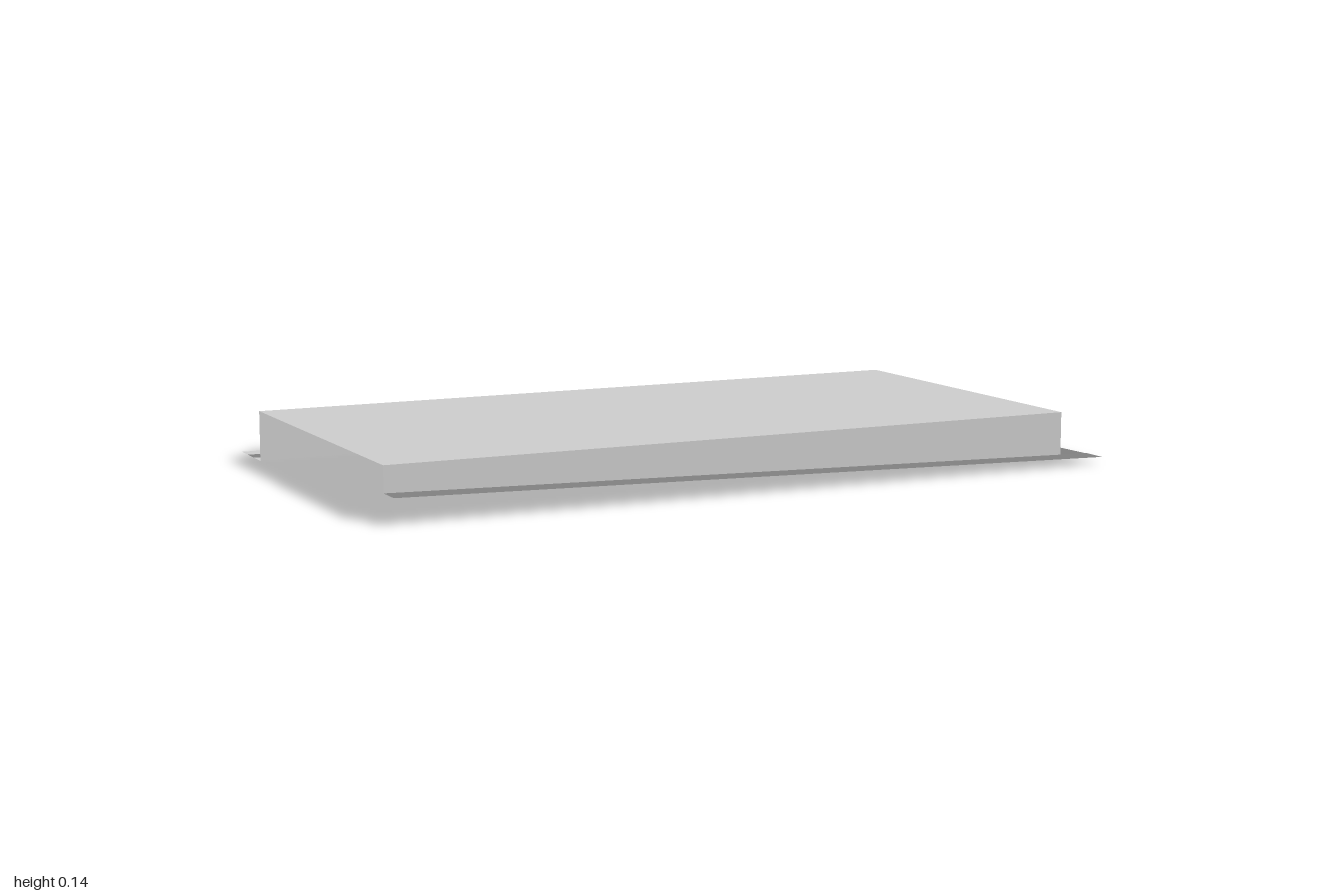
import * as THREE from 'three';

export function createModel() {
  const model = new THREE.Group();
  const light = new THREE.MeshStandardMaterial({ color: 0xcccccc, side: THREE.DoubleSide });
  light.name = 'light grey sheet';
  const dark = new THREE.MeshStandardMaterial({ color: 0x808080, side: THREE.DoubleSide });
  dark.name = 'dark grey flange';

  // Sheet extents: raised tray inside, flanges outside
  const L = -1, R = 0.914, EDGE = 1;
  const B = -0.432, F = 0.531, OUT = 0.6, TOP = 0.135;

  // Flange heights: the front one falls along x, the side one falls towards the back
  const frontY = x => 0.018 + 0.025 * (1 - x);
  const sideY = z => 0.018 * (z + OUT) / (2 * OUT);

  // Flat four-cornered panel, corners counter-clockwise seen from outside
  function panel(name, material, a, b, c, d) {
    const g = new THREE.BufferGeometry();
    g.setAttribute('position', new THREE.Float32BufferAttribute([a, b, c, a, c, d].flat(), 3));
    g.computeVertexNormals();
    const mesh = new THREE.Mesh(g, material);
    mesh.name = name;
    model.add(mesh);
  }

  // Horizontal strip whose height follows a rule y(x, z)
  function strip(name, material, x0, x1, z0, z1, y) {
    const p = (x, z) => [x, y(x, z), z];
    panel(name, material, p(x0, z1), p(x1, z1), p(x1, z0), p(x0, z0));
  }

  // Raised tray: top and three walls, open at the -x end
  strip('topPanel', light, L, R, B, F, () => TOP);
  panel('frontWall', light, [L, frontY(L), F], [R, frontY(R), F], [R, TOP, F], [L, TOP, F]);
  panel('sideWall', light, [R, sideY(F), F], [R, sideY(B), B], [R, TOP, B], [R, TOP, F]);
  panel('backWall', light, [R, 0, B], [L, 0, B], [L, TOP, B], [R, TOP, B]);

  // Sloping front and side flanges
  strip('frontFlange', dark, L, EDGE, F, OUT, x => frontY(x));
  strip('sideFlange', dark, R, EDGE, -0.545, F, (x, z) => sideY(z));
  strip('sideFlangeEnd', dark, 0.935, EDGE, -OUT, -0.545, (x, z) => sideY(z));

  // Striped back flange
  strip('backFlangeInner', light, L, 0.916, -0.49, B, () => 0);
  strip('backFlangeStripe', dark, L, 0.925, -0.545, -0.49, () => 0);
  strip('backFlangeOuter', light, L, 0.935, -OUT, -0.545, () => 0);

  return model;
}
